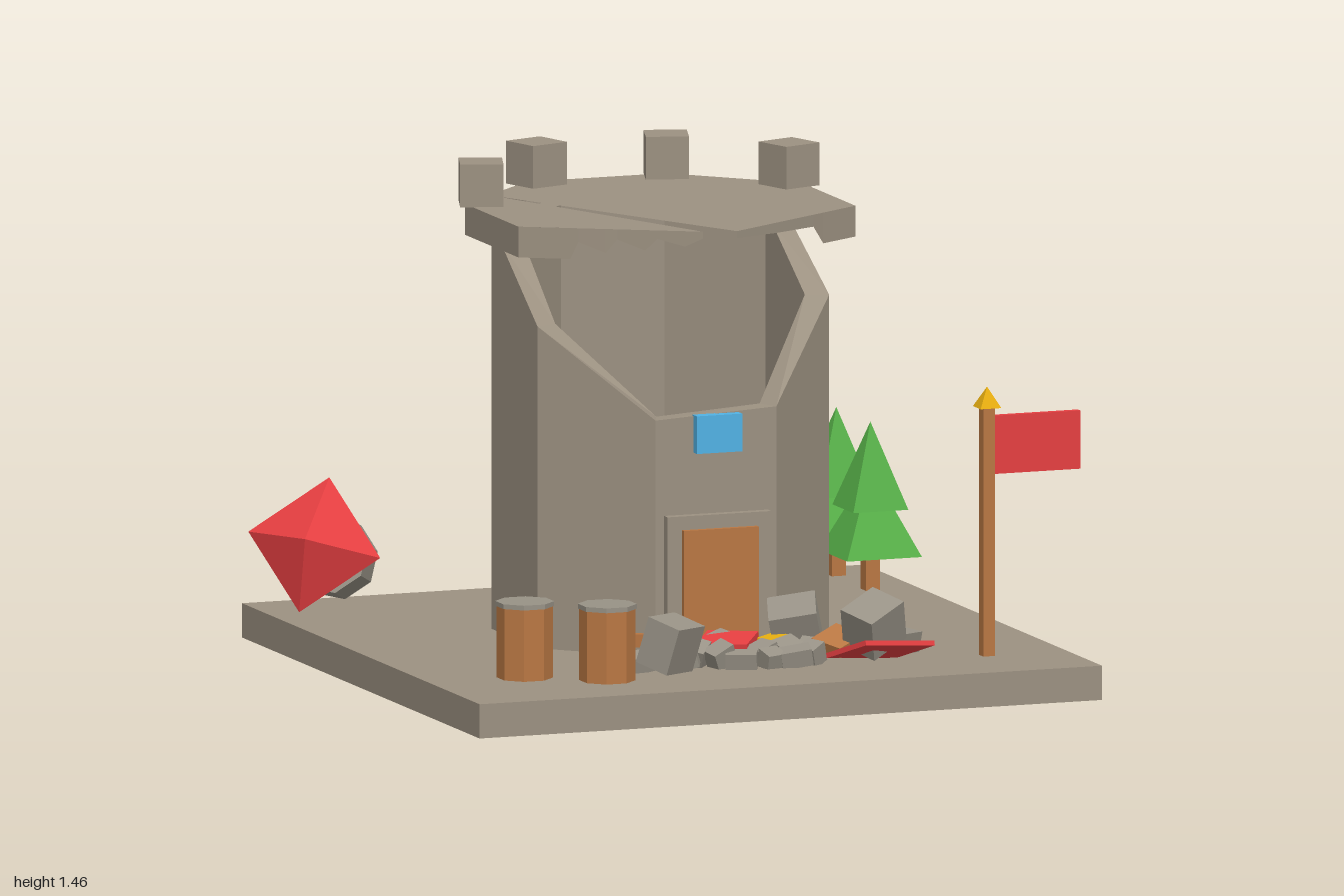
import * as THREE from 'three';

const paint = (name, color, side = THREE.FrontSide) => {
  const m = new THREE.MeshStandardMaterial({ color, side });
  m.name = name;
  return m;
};

export function createModel() {
  const root = new THREE.Group();
  const stone = paint('stone', 0x9c9181, THREE.DoubleSide), rock = paint('rubble grey', 0x989286);
  const wood = paint('wood', 0xb97743), red = paint('red', 0xe63f41);
  const green = paint('leaf green', 0x57b049), blue = paint('blue', 0x51b2e4);
  const gold = paint('gold', 0xe6ad10);

  const add = (name, geo, mat, x = 0, y = 0, z = 0, parent = root) => {
    const m = new THREE.Mesh(geo, mat);
    m.name = name;
    m.position.set(x, y, z);
    parent.add(m);
    return m;
  };
  const flat = (g) => {
    const f = g.toNonIndexed();
    f.computeVertexNormals();
    return f;
  };
  const box = (w, h, d) => new THREE.BoxGeometry(w, h, d);
  const cyl = (r0, r1, h, n) => flat(new THREE.CylinderGeometry(r0, r1, h, n));
  // Box given by its limits
  const span = (name, mat, x0, x1, y0, y1, z0, z1) =>
    add(name, box(x1 - x0, y1 - y0, z1 - z0), mat, (x0 + x1) / 2, (y0 + y1) / 2, (z0 + z1) / 2);
  // Flat-shaded surface from four-cornered faces
  const faces = (name, mat, quads) => {
    const g = new THREE.BufferGeometry();
    const pos = quads.flatMap(([a, b, c, d]) => [a, b, c, a, c, d].flat());
    g.setAttribute('position', new THREE.Float32BufferAttribute(pos, 3));
    g.computeVertexNormals();
    return add(name, g, mat);
  };
  // Horizontal sheet from [x, z] outline
  const sheet = (name, mat, pts, y) => {
    const shape = new THREE.Shape(pts.map(([x, z]) => new THREE.Vector2(x, -z)));
    return add(name, new THREE.ShapeGeometry(shape).rotateX(-Math.PI / 2), mat, 0, y, 0);
  };

  // Ground slab, hollow and open underneath
  const slab = box(1.92, 0.1, 1.92);
  const index = [...slab.index.array];
  index.splice(18, 6);
  slab.setIndex(index);
  slab.clearGroups();
  add('ground', slab, stone, 0, 0.05, 0.02);

  // Hollow octagonal tower wall, broken down towards the front
  const k = Math.SQRT2 - 1, cz = -0.075;
  const ring = [
    [-k, 1, 0.79], [k, 1, 0.81], [1, k, 1.08], [1, -0.28, 1.25], [1, -k, 1.29],
    [k, -1, 1.29], [-k, -1, 1.29], [-1, -k, 1.29], [-1, -0.28, 1.25], [-1, k, 1.04],
  ];
  const at = ([x, z, top], r, y = top) => [x * r, y, cz + z * r];
  const R = 0.45, r = 0.385;
  faces('towerWall', stone, ring.flatMap((a, i) => {
    const b = ring[(i + 1) % ring.length];
    return [
      [at(a, R, 0.1), at(b, R, 0.1), at(b, R), at(a, R)],
      [at(b, r, 0.1), at(a, r, 0.1), at(a, r), at(b, r)],
      [at(a, R), at(b, R), at(b, r), at(a, r)],
    ];
  }));

  // Overhanging roof sheet split by a wedge-shaped crack
  const back = [[0.52, 0.14], [0.52, -0.29], [0.215, -0.595],
    [-0.215, -0.595], [-0.52, -0.29], [-0.52, 0.14]];
  const tip = [-0.4, -0.41], eastPoint = [0.04, 0.44], westPoint = [-0.055, 0.415];
  sheet('roofWest', stone, [tip, back[4], back[5], westPoint], 1.34);
  sheet('roofEast', stone, [tip, back[3], back[2], back[1], back[0], eastPoint], 1.34);

  // Skirt hanging from the roof edge, jagged at the front: x, z, lower edge
  const skirt = [
    [...eastPoint, 1.32], [0.2, 0.34, 1.31], [0.35, 0.246, 1.305], [0.39, 0.22, 1.25],
    ...back.map((p) => [...p, 1.25]),
    [-0.39, 0.22, 1.25], [-0.37, 0.232, 1.3], [-0.3, 0.27, 1.27], [-0.27, 0.285, 1.31],
    [-0.2, 0.328, 1.28], [-0.17, 0.346, 1.315], [-0.1, 0.388, 1.295], [...westPoint, 1.32],
  ];
  faces('roofSkirt', stone, skirt.slice(1).map(([x, z, low], i) => {
    const [px, pz, pLow] = skirt[i];
    return [[px, pLow, pz], [x, low, z], [x, 1.34, z], [px, 1.34, pz]];
  }));

  // Merlons on the rear corners
  for (const s of [-1, 1]) {
    add('outerMerlon', box(0.125, 0.125, 0.125), stone, s * 0.475, 1.402, -0.278)
      .rotation.y = s * 0.33;
    add('rearMerlon', box(0.125, 0.125, 0.125), stone, s * 0.2, 1.402, -0.55)
      .rotation.y = -s * 0.31;
  }

  // Door and window
  span('doorFrame', stone, -0.16, 0.16, 0.1, 0.51, 0.37, 0.403);
  span('door', wood, -0.115, 0.115, 0.1, 0.47, 0.38, 0.42);
  span('window', blue, -0.07, 0.07, 0.69, 0.8, 0.37, 0.405);

  // Flag on a pole
  span('flagPole', wood, 0.698, 0.734, 0.1, 0.83, 0.672, 0.708);
  add('poleTip', cyl(0, 0.045, 0.06, 4).rotateY(Math.PI / 4), gold, 0.716, 0.855, 0.69);
  span('flag', red, 0.732, 1, 0.63, 0.8, 0.68, 0.7);

  // Square-tiered trees
  for (const z of [-0.8, -0.525]) {
    span('trunk', wood, 0.798, 0.842, 0.1, 0.21, z - 0.022, z + 0.022);
    add('lowerBranches', cyl(0, 0.163, 0.25, 4).rotateY(Math.PI / 4), green, 0.82, 0.33, z);
    add('upperBranches', cyl(0, 0.12, 0.25, 4).rotateY(Math.PI / 4), green, 0.82, 0.465, z);
  }

  // Barrels
  for (const [x, z] of [[-0.668, 0.58], [-0.463, 0.71]]) {
    add('barrel', cyl(0.081, 0.081, 0.21, 8).rotateY(Math.PI / 8), wood, x, 0.205, z);
    add('barrelLid', cyl(0.085, 0.085, 0.014, 8).rotateY(Math.PI / 8), rock, x, 0.316, z);
  }

  // Toppled well, its axis pointing forward and slightly up
  const well = new THREE.Group();
  well.name = 'toppledWell';
  const ax = new THREE.Vector3(-0.54, 0.29, 0.79).normalize();
  const side = new THREE.Vector3(-0.16, 0.03, -0.12);
  side.addScaledVector(ax, -side.dot(ax)).normalize();
  well.quaternion.setFromRotationMatrix(
    new THREE.Matrix4().makeBasis(side, ax, side.clone().cross(ax)));
  well.position.set(-0.84, 0.305, -0.67);
  root.add(well);
  add('wellRoof', cyl(0, 0.2, 0.12, 4), red, 0, 0.06, 0, well);
  add('wellDrum', cyl(0.118, 0.118, 0.13, 8).rotateY(Math.PI / 8), rock, 0, -0.247, 0, well);
  add('wellWater', cyl(0.095, 0.095, 0.008, 8).rotateY(Math.PI / 8), blue, 0, -0.18, 0, well);
  for (const s of [-1, 1]) add('wellPost', box(0.036, 0.2, 0.036), wood, s * 0.087, -0.09, 0, well);

  // Fallen beam
  const a = new THREE.Vector3(-0.46, 0.2, 0.57), b = new THREE.Vector3(0.02, 0.13, 0.4);
  const beam = add('fallenBeam', box(0.038, 0.038, a.distanceTo(b)), wood);
  beam.position.lerpVectors(a, b, 0.5);
  beam.lookAt(b);

  // Rubble: x, y, z, width, height, depth, turns about x, y, z
  const heap = (name, mat, rows) => rows.forEach(([x, y, z, w, h, d, rx, ry, rz]) =>
    add(name, box(w, h, d), mat, x, y, z).rotation.set(rx, ry, rz));
  heap('boulder', rock, [
    [-0.27, 0.195, 0.715, 0.14, 0.14, 0.11, 0.35, 0.6, -0.25],
    [0.21, 0.185, 0.465, 0.14, 0.13, 0.13, 0.4, -0.3, 0.3],
    [0.36, 0.215, 0.705, 0.14, 0.13, 0.12, 0.3, 0.5, 0.25],
    [0.475, 0.145, 0.585, 0.12, 0.06, 0.1, 0.2, 0.7, -0.2],
    [-0.03, 0.145, 0.48, 0.09, 0.05, 0.07, 0.2, 0.5, 0.1],
  ]);
  heap('fragment', rock, [
    [-0.31, 0.13, 0.6, 0.13, 0.05, 0.06, 0.2, 0.2, 0.1],
    [-0.2, 0.135, 0.55, 0.08, 0.07, 0.07, 0.3, 0.7, 0.2],
    [-0.2, 0.13, 0.63, 0.09, 0.05, 0.06, 0.1, -0.4, 0.3],
    [-0.14, 0.135, 0.57, 0.07, 0.07, 0.07, 0.4, 0.9, 0.1],
    [-0.08, 0.135, 0.62, 0.07, 0.06, 0.06, 0.2, 0.3, 0.4],
    [-0.03, 0.125, 0.66, 0.09, 0.05, 0.05, 0.2, -0.4, 0.1],
    [0.05, 0.13, 0.61, 0.08, 0.06, 0.06, 0.1, 0.5, 0.2],
    [0.06, 0.125, 0.67, 0.06, 0.05, 0.06, 0.3, 0.2, 0],
    [0.13, 0.13, 0.68, 0.09, 0.05, 0.06, 0.2, -0.2, 0.2],
    [0.19, 0.13, 0.65, 0.06, 0.06, 0.06, 0.1, 0.6, 0.3],
    [0.13, 0.135, 0.6, 0.08, 0.06, 0.06, 0.4, 0.4, 0],
    [0.21, 0.13, 0.58, 0.07, 0.05, 0.06, 0.2, 1, 0.1],
  ]);
  heap('redPanel', red, [
    [0.37, 0.145, 0.735, 0.25, 0.015, 0.19, -0.34, 0.3, 0],
    [-0.02, 0.155, 0.52, 0.15, 0.03, 0.14, 0.15, -0.6, 0.1],
  ]);
  heap('brokenPlank', wood, [[0.28, 0.16, 0.63, 0.11, 0.03, 0.11, 0.2, 0.5, 0.2]]);
  heap('goldPiece', gold, [
    [0.12, 0.145, 0.52, 0.08, 0.04, 0.06, 0, 0.5, 0.1],
    [0.28, 0.13, 0.49, 0.08, 0.04, 0.06, 0, -0.4, 0],
  ]);
  return root;
}
